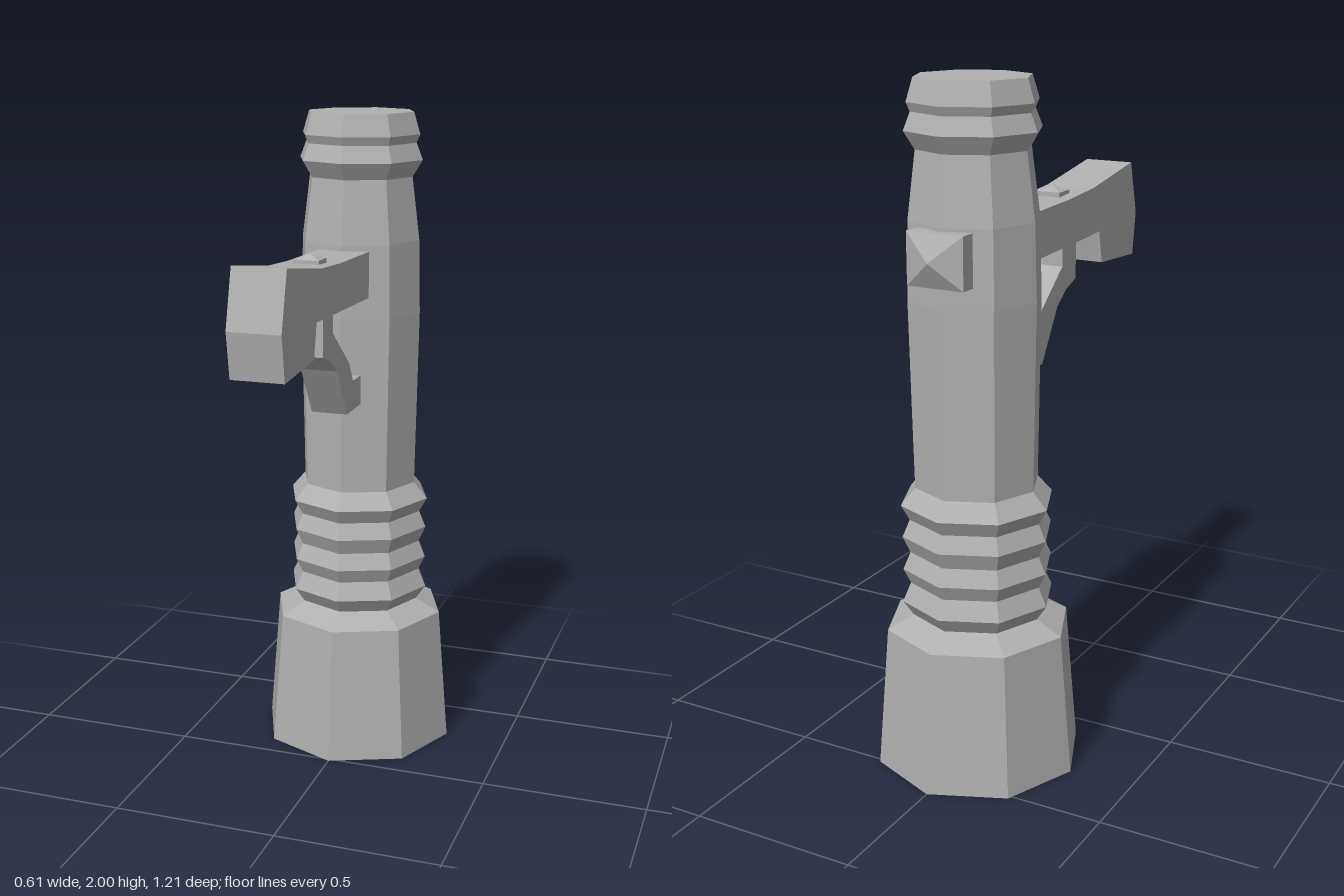
import * as THREE from 'three';

const AXIS_Z = -0.296;

// Give every face its own normal
function faceted(geometry) {
  const g = geometry.index ? geometry.toNonIndexed() : geometry;
  g.computeVertexNormals();
  return g;
}

// Side profile given as [z, y], extruded evenly to both sides of x = 0
function sidePlate(points, width) {
  const shape = new THREE.Shape(points.map(([z, y]) => new THREE.Vector2(z, y)));
  const g = new THREE.ExtrudeGeometry(shape, { depth: width, bevelEnabled: false });
  g.translate(0, 0, -width / 2);
  g.rotateY(-Math.PI / 2);
  return g;
}

// Square block with a pyramid on top, base centred on the origin, pointing up
function pyramidStud(name, width, length, blockHeight, peakHeight, material) {
  const stud = new THREE.Group();
  stud.name = name;
  const block = new THREE.Mesh(new THREE.BoxGeometry(width, blockHeight, length), material);
  block.name = name + 'Block';
  block.position.y = blockHeight / 2;
  const cone = new THREE.ConeGeometry(Math.SQRT1_2, 1, 4, 1, true);
  cone.rotateY(Math.PI / 4);
  cone.scale(width, peakHeight, length);
  const peak = new THREE.Mesh(faceted(cone), material);
  peak.name = name + 'Peak';
  peak.position.y = blockHeight + peakHeight / 2;
  stud.add(block, peak);
  return stud;
}

export function createModel() {
  const model = new THREE.Group();
  model.name = 'hiltWithSideArm';
  const grey = new THREE.MeshStandardMaterial({ color: 0xb0b0b0 });
  grey.name = 'grey metal';

  function add(name, geometry) {
    const mesh = new THREE.Mesh(geometry, grey);
    mesh.name = name;
    model.add(mesh);
    return mesh;
  }

  // Eight-sided sections of the upright body: [radius, y]
  const sections = {
    flaredBase: [[0, 0], [0.307, 0], [0.272, 0.425], [0.195, 0.465]],
    ribbedGrip: [[0.195, 0.465], [0.225, 0.51], [0.2, 0.565], [0.222, 0.61], [0.2, 0.66],
      [0.222, 0.71], [0.2, 0.76], [0.225, 0.805], [0.182, 0.855]],
    shaft: [[0.182, 0.855], [0.186, 1.06], [0.192, 1.4], [0.187, 1.62], [0.163, 1.81]],
    collar: [[0.163, 1.81], [0.194, 1.86], [0.174, 1.91], [0.185, 1.935], [0.165, 2], [0, 2]],
  };
  for (const [name, profile] of Object.entries(sections)) {
    const points = profile.map(([r, y]) => new THREE.Vector2(r, y));
    add(name, faceted(new THREE.LatheGeometry(points, 8))).position.z = AXIS_Z;
  }

  // Forward arm with a drooping end
  add('sideArm', sidePlate([
    [-0.14, 1.603], [-0.14, 1.465], [0.243, 1.476], [0.333, 1.48], [0.354, 1.38],
    [0.582, 1.365], [0.603, 1.497], [0.56, 1.662], [0.286, 1.62], [0.13, 1.61],
  ], 0.154));

  // Curved brace under the arm
  add('brace', sidePlate([
    [0.217, 1.47], [0.127, 1.47], [0.127, 1.407], [-0.02, 1.29], [-0.058, 1.228],
    [-0.14, 1.228], [-0.14, 1.138], [0, 1.138], [0.095, 1.29], [0.153, 1.333], [0.217, 1.355],
  ], 0.11));

  // Small stud on the arm
  const armStud = pyramidStud('armStud', 0.077, 0.066, 0.025, 0.016, grey);
  armStud.position.set(0, 1.6, 0.17);
  model.add(armStud);

  // Large stud on the back of the shaft
  const backStud = pyramidStud('backStud', 0.174, 0.148, 0.05, 0.038, grey);
  backStud.rotation.x = -Math.PI / 2;
  backStud.position.set(0, 1.537, -0.458);
  model.add(backStud);

  return model;
}
